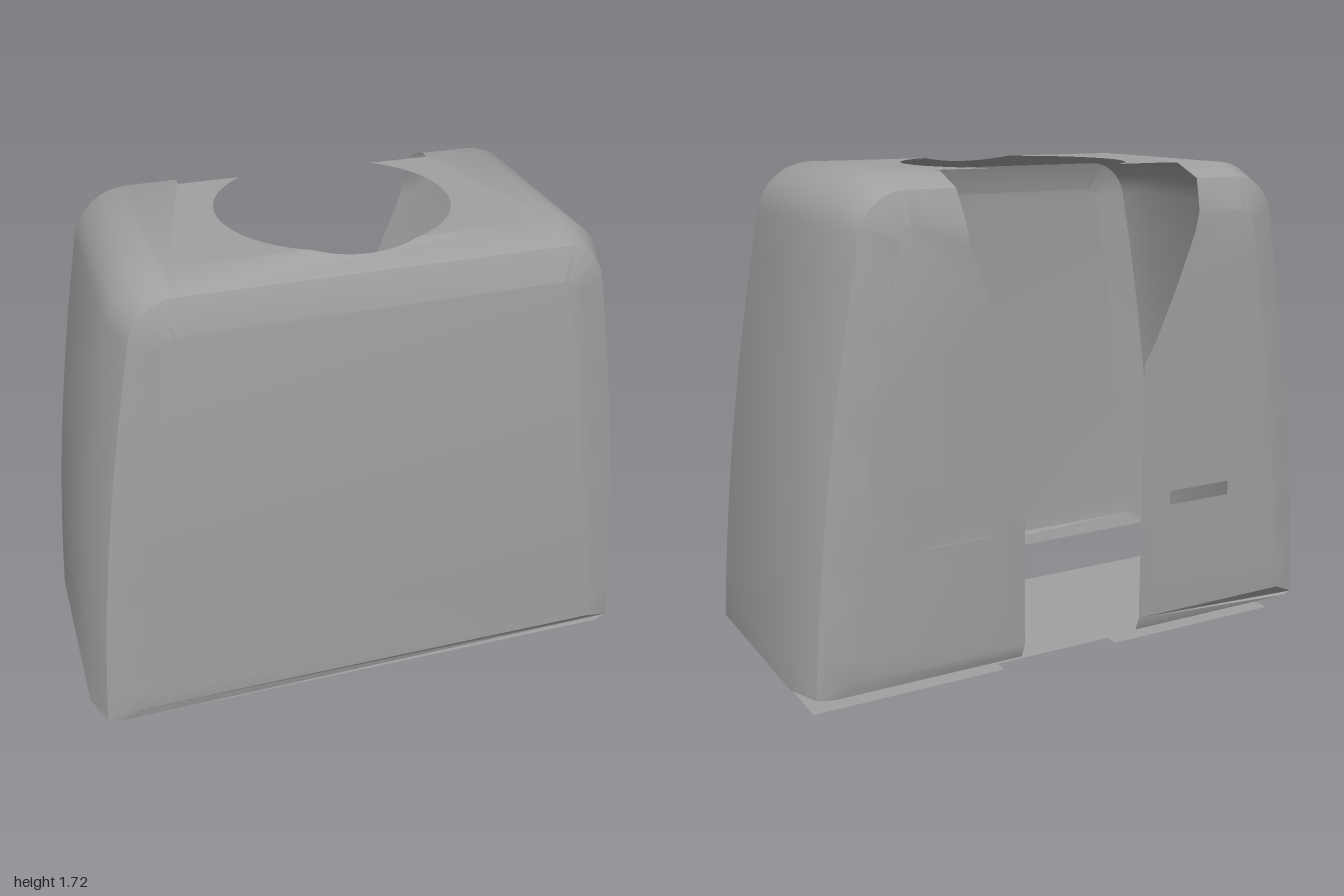
import * as THREE from 'three';
import { mergeGeometries, toCreasedNormals } from 'three/addons/utils/BufferGeometryUtils.js';

const TOP = 1.715, FLAT = 0.616, HOLE = 0.39, NOTCH = 0.45, SLOT = 0.23;

// Cross-section rings: [z, inset from the widest profile]
const RINGS = [[0.5, 0.15], [0.46, 0.045], [0.35, 0], [-0.35, 0], [-0.46, 0.045], [-0.5, 0.15]];

// Side profile from the bottom rim up to the flat top, inset along its normals
function profile(inset) {
  const pts = [];
  for (let i = 0; i < 10; i++) {
    const t = 1.4545 * i / 10;
    const slope = 0.0575 + 0.0996 * t, len = Math.hypot(1, slope);
    const x = 1 - 0.0575 * t - 0.0498 * t * t;
    if (i === 0) pts.push([x - inset, inset > 0.1 ? 0.15 : 0.1]);
    else pts.push([x - inset / len, 0.1 + t - inset * slope / len]);
  }
  const start = Math.atan(0.2019), r = 0.2 - inset;
  for (let i = 0; i <= 8; i++) {
    const a = start + (Math.PI / 2 - start) * i / 8;
    pts.push([FLAT + r * Math.cos(a), 1.515 + r * Math.sin(a)]);
  }
  return pts;
}

// Curved flank with its bevels, for side s = 1 or -1
function flank(s) {
  const rings = RINGS.map(([z, inset]) => profile(inset).map(([x, y]) => [s * x, y, z]));
  const pos = [];
  for (let j = 0; j < rings.length - 1; j++) {
    for (let i = 0; i < rings[j].length - 1; i++) {
      const a = rings[j][i], b = rings[j][i + 1], c = rings[j + 1][i], d = rings[j + 1][i + 1];
      const quad = s > 0 ? [a, c, b, c, d, b] : [a, b, c, c, b, d];
      quad.forEach(p => pos.push(...p));
    }
  }
  const g = new THREE.BufferGeometry();
  g.setAttribute('position', new THREE.Float32BufferAttribute(pos, 3));
  return g;
}

// Flat outline, optionally with a hole, placed in space by a mapping rule
function panel(pts, map, hole) {
  const toV = list => list.map(([x, y]) => new THREE.Vector2(x, y));
  const shape = new THREE.Shape(toV(pts));
  if (hole) shape.holes.push(new THREE.Path(toV(hole)));
  const g = new THREE.ShapeGeometry(shape).toNonIndexed();
  g.deleteAttribute('uv');
  g.deleteAttribute('normal');
  const p = g.attributes.position;
  for (let i = 0; i < p.count; i++) p.setXYZ(i, ...map(p.getX(i), p.getY(i)));
  return g;
}

// Height of the top surface at depth z
function topY(z) {
  const d = Math.abs(z);
  if (d <= 0.35) return TOP;
  if (d <= 0.46) return TOP - 0.045 * (d - 0.35) / 0.11;
  return TOP - 0.045 - 0.105 * (d - 0.46) / 0.04;
}
const topPanel = pts => panel(pts.map(([x, z]) => [x, -z]), (u, v) => [u, topY(-v), -v]);
const frontPanel = (pts, depth) => panel(pts, (x, y) => [x, y, depth(x, y)]);
const backPanel = (pts, depth, hole) =>
  panel(pts, (x, y) => [-x, y, -depth(x, y)], hole);

const flatDepth = () => 0.5;
// Rim below the walls tucks inward
const rimDepth = (x, y) => (y > 0.12 ? 0.5 : Math.abs(x) > 0.93 ? 0.46 : 0.48);

// Points on the round opening, angle measured from the front
function arc(from, to, n) {
  return Array.from({ length: n + 1 }, (_, i) => {
    const t = from + (to - from) * i / n;
    return [HOLE * Math.sin(t), HOLE * Math.cos(t)];
  });
}

function shellGeometry() {
  const parts = [];
  const inner = profile(0.15);
  const mirror = list => list.map(([x, y]) => [-x, y]);
  const tFront = Math.acos(0.35 / HOLE), tBack = Math.PI - Math.acos(0.31 / HOLE);

  // Front wall, rim and top bevels
  parts.push(frontPanel([...inner, ...mirror(inner).reverse()], flatDepth));
  parts.push(frontPanel([[-0.85, 0.15], [-0.955, 0.1], [-0.9, 0.0995], [0.9, 0.0995],
    [0.955, 0.1], [0.85, 0.15]], rimDepth));
  parts.push(topPanel([[-FLAT, 0.35], ...arc(-tFront, tFront, 12), [FLAT, 0.35],
    [FLAT, 0.46], [-FLAT, 0.46]]));
  parts.push(topPanel([[-FLAT, 0.46], [FLAT, 0.46], [FLAT, 0.5], [-FLAT, 0.5]]));

  for (const s of [1, -1]) {
    const side = list => list.map(([x, y]) => [s * x, y]);
    parts.push(flank(s));
    // Top deck around the round opening and the rear notch
    parts.push(topPanel(side([[FLAT, 0.35], ...arc(tFront, tBack, 32),
      [NOTCH, -0.31], [NOTCH, -0.35], [FLAT, -0.35]])));
    parts.push(topPanel(side([[FLAT, -0.35], [FLAT, -0.46], [NOTCH, -0.46], [NOTCH, -0.35]])));
    parts.push(topPanel(side([[FLAT, -0.46], [FLAT, -0.5], [0.436, -0.5], [NOTCH, -0.46]])));
    // Rear wall half with flared slot edge and a narrow slit
    parts.push(backPanel(side([...inner, [0.436, 1.565], [0.42, 1.49], [0.35, 1.31],
      [0.275, 1.14], [SLOT, 1.06], [SLOT, 0.15]]), flatDepth,
    side([[0.35, 0.55], [0.6, 0.55], [0.6, 0.6], [0.35, 0.6]])));
    parts.push(backPanel(side([[SLOT, 0.15], [SLOT, 0.0995], [0.9, 0.0995],
      [0.955, 0.1], [0.85, 0.15]]), rimDepth));
  }
  return toCreasedNormals(mergeGeometries(parts), 0.6);
}

export function createModel() {
  const grey = new THREE.MeshStandardMaterial({ color: 0xa0a0a0, side: THREE.DoubleSide });
  grey.name = 'grey';
  const group = new THREE.Group();
  group.name = 'dockStand';

  const shell = new THREE.Mesh(shellGeometry(), grey);
  shell.name = 'shell';

  // Thin floor sheet with a shallow notch at the back
  const floor = panel([[-0.93, -0.35], [0.93, -0.35], [0.93, 0.355], [SLOT, 0.355],
    [SLOT, 0.305], [-SLOT, 0.305], [-SLOT, 0.355], [-0.93, 0.355]], (u, v) => [u, 0, -v]);
  floor.computeVertexNormals();
  const basePlate = new THREE.Mesh(floor, grey);
  basePlate.name = 'basePlate';

  group.add(shell, basePlate);
  return group;
}
